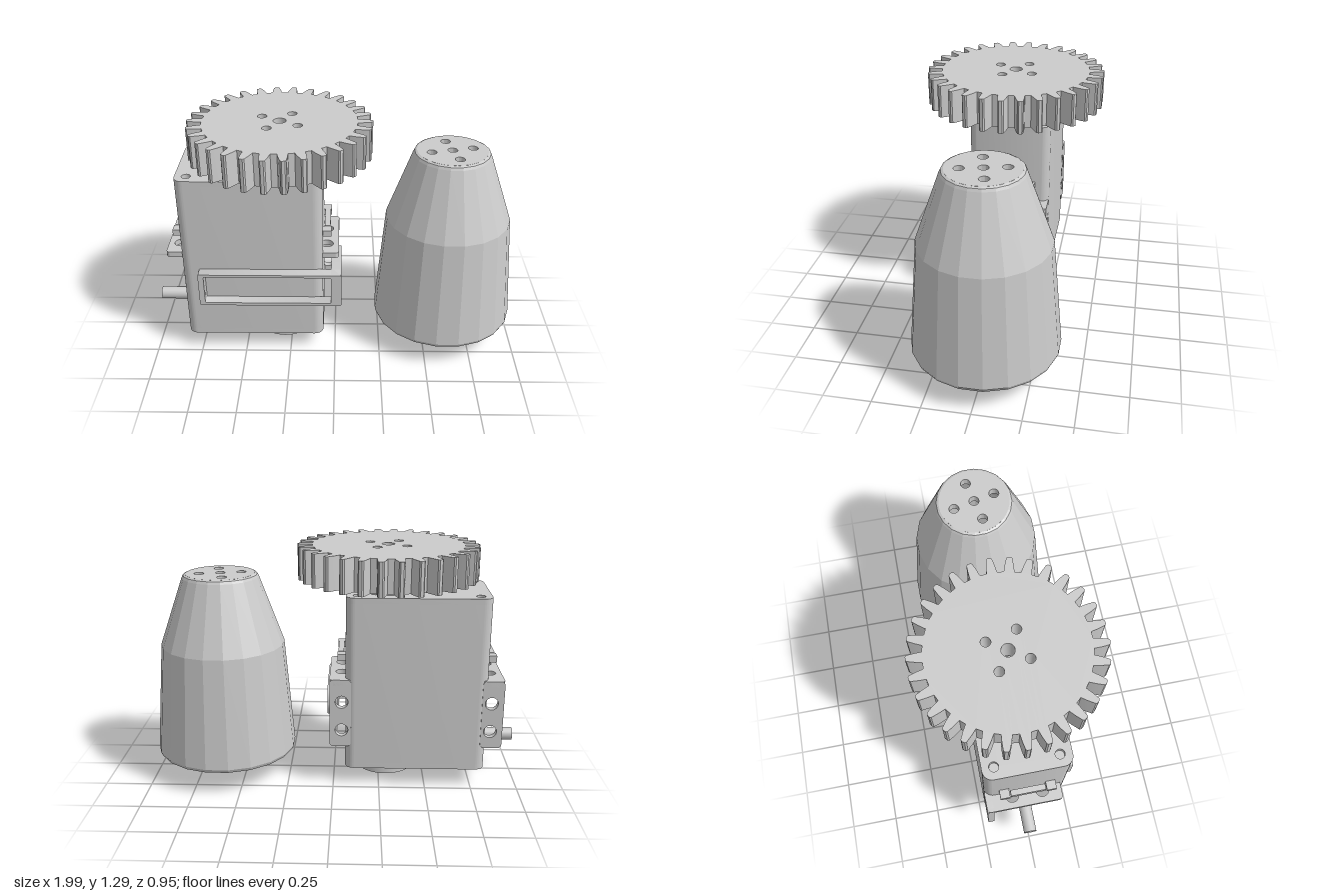
import * as THREE from 'three';
import { toCreasedNormals } from 'three/addons/utils/BufferGeometryUtils.js';

const grey = new THREE.MeshStandardMaterial({ color: 0xcccccc, side: THREE.DoubleSide });
const faceted = new THREE.MeshStandardMaterial({ color: 0xcccccc, flatShading: true, side: THREE.DoubleSide });

// Servo centre line and half sizes, height range
const CX = -0.443, HX = 0.378, HZ = 0.22, Y0 = 0.1, Y1 = 1.055;
const AXIS = -0.285, CONE = 0.61;

function add(parent, name, geo, x = 0, y = 0, z = 0, mat = grey) {
  const mesh = new THREE.Mesh(geo, mat);
  mesh.name = name;
  mesh.position.set(x, y, z);
  parent.add(mesh);
  return mesh;
}

function roundedRect(x0, y0, x1, y1, r, Type = THREE.Shape) {
  const s = new Type();
  s.moveTo(x0 + r, y0);
  s.lineTo(x1 - r, y0);
  s.absarc(x1 - r, y0 + r, r, -Math.PI / 2, 0);
  s.lineTo(x1, y1 - r);
  s.absarc(x1 - r, y1 - r, r, 0, Math.PI / 2);
  s.lineTo(x0 + r, y1);
  s.absarc(x0 + r, y1 - r, r, Math.PI / 2, Math.PI);
  s.lineTo(x0, y0 + r);
  s.absarc(x0 + r, y0 + r, r, Math.PI, Math.PI * 1.5);
  return s;
}

const disc = r => new THREE.Shape().absarc(0, 0, r, 0, Math.PI * 2);

function hole(shape, x, y, r) {
  shape.holes.push(new THREE.Path().absarc(x, y, r, 0, Math.PI * 2, true));
}

// Central bore plus four screw holes on a circle
function boltHoles(shape, startDeg, ring, r, bore) {
  if (bore) hole(shape, 0, 0, bore);
  for (let i = 0; i < 4; i++) {
    const a = (startDeg + i * 90) * Math.PI / 180;
    hole(shape, ring * Math.cos(a), ring * Math.sin(a), r);
  }
  return shape;
}

function extrude(shape, depth, segments = 8) {
  const geo = new THREE.ExtrudeGeometry(shape, { depth, bevelEnabled: false, curveSegments: segments });
  return toCreasedNormals(geo, 0.6);
}

// Extrusion upwards: shape y becomes -z
const slab = (shape, height, segments) => extrude(shape, height, segments).rotateX(-Math.PI / 2);

function gearShape(teeth, root, tip) {
  const pts = [];
  const pitch = Math.PI * 2 / teeth;
  const profile = [[-0.31, root], [-0.24, root + 0.035], [-0.15, tip - 0.006], [-0.08, tip],
    [0.08, tip], [0.15, tip - 0.006], [0.24, root + 0.035], [0.31, root]];
  for (let i = 0; i < teeth; i++) {
    for (const [f, r] of profile) {
      const a = (i + f) * pitch;
      pts.push(new THREE.Vector2(r * Math.cos(a), r * Math.sin(a)));
    }
  }
  return new THREE.Shape(pts);
}

function buildServo() {
  const g = new THREE.Group();
  g.name = 'servo';

  // Case: plain core between end plates with screw holes
  const outline = () => roundedRect(-HX, -HZ, HX, HZ, 0.05);
  const plate = outline();
  for (const sx of [-1, 1]) for (const sz of [-1, 1]) hole(plate, sx * 0.317, sz * 0.16, 0.024);
  add(g, 'case', slab(outline(), Y1 - Y0 - 0.06), CX, Y0 + 0.03);
  add(g, 'bottomPlate', slab(plate, 0.03), CX, Y0);
  add(g, 'topPlate', slab(plate, 0.03), CX, Y1 - 0.03);

  // Lower bearing
  add(g, 'lowerBoss', slab(boltHoles(disc(0.16), 45, 0.11, 0.02), 0.06, 20), AXIS, 0.04);
  const hub = disc(0.063);
  hole(hub, 0, 0, 0.03);
  add(g, 'lowerHub', slab(hub, 0.04, 16), AXIS, 0);

  // Output horn with a slot through it
  add(g, 'hornDisc', slab(disc(0.16), 0.017, 20), AXIS, Y1);
  const half = Math.acos(0.045 / 0.16);
  for (const start of [0, Math.PI]) {
    const segment = new THREE.Shape().absarc(0, 0, 0.16, start - half, start + half);
    add(g, 'hornBlock', slab(segment, 0.05, 16), AXIS, 1.071);
  }

  // Cable shaft
  const rod = (r, l) => new THREE.CylinderGeometry(r, r, l, 20).rotateZ(Math.PI / 2);
  add(g, 'cable', rod(0.035, 0.19), -0.905, 0.22);
  add(g, 'cableCollar', rod(0.047, 0.04), -0.82, 0.22);

  for (const s of [-1, 1]) g.add(buildBracket(s));
  g.add(buildClip());
  return g;
}

// Mounting ears on one side of the case, s = side
function buildBracket(s) {
  const g = new THREE.Group();
  g.name = s > 0 ? 'leftBracket' : 'rightBracket';
  g.position.x = CX + s * HX;
  const ear = (a, b) => roundedRect(Math.min(-0.03 * s, 0.085 * s), a, Math.max(-0.03 * s, 0.085 * s), b, 0.02);

  const flange = ear(0.23, 0.61);
  for (const y of [0.325, 0.485]) hole(flange, s * 0.02, y, 0.035);
  add(g, 'flange', extrude(flange, 0.035), 0, 0, -0.22);

  const shelf = ear(-0.18, 0.22);
  for (const z of [-0.08, 0.08]) hole(shelf, s * 0.02, z, 0.035);
  add(g, 'shelf', slab(shelf, 0.03), 0, 0.58);

  // Small latch above the shelf
  add(g, 'latchBar', new THREE.BoxGeometry(0.03, 0.04, 0.18), s * 0.025, 0.71);
  for (const z of [-0.12, 0.12]) {
    add(g, 'latchTab', new THREE.BoxGeometry(0.05, 0.035, 0.05), s * 0.02, 0.71, z);
  }
  return g;
}

// Open frame on the front with an arm folded back along the side
function buildClip() {
  const g = new THREE.Group();
  g.name = 'clip';
  const frame = roundedRect(-0.73, 0.335, 0.035, 0.53, 0.008);
  frame.holes.push(roundedRect(-0.7, 0.352, -0.02, 0.515, 0.008, THREE.Path));
  add(g, 'frontFrame', extrude(frame, 0.065), 0, 0, 0.215);

  const r = 0.0975;
  const arm = new THREE.Shape();
  arm.moveTo(-0.27, -r);
  arm.lineTo(0, -r);
  arm.absarc(0, 0, r, -Math.PI / 2, Math.PI / 2);
  arm.lineTo(-0.27, r);
  add(g, 'sideArm', extrude(arm, 0.055, 16).rotateY(Math.PI / 2), -0.02, 0.4325, 0);
  return g;
}

function buildCone() {
  const g = new THREE.Group();
  g.name = 'coneCover';
  g.position.x = CONE;
  const sides = 20;
  // Hollow shell: down the inside, round the base and up the outside
  const profile = [[0.17, 1.09], [0.29, 0.74], [0.31, 0.25], [0.265, 0.25], [0.275, 0.13],
    [0.362, 0.13], [0.378, 0.137], [0.386, 0.155], [0.335, 0.75], [0.205, 1.115], [0.198, 1.129], [0.185, 1.135]]
    .map(([r, y]) => new THREE.Vector2(r, y));
  const shell = new THREE.LatheGeometry(profile, sides).rotateY(Math.PI / sides);
  add(g, 'coneShell', shell, 0, 0, 0, faceted);

  const cap = boltHoles(disc(0.185), 94, 0.113, 0.026, 0.026);
  add(g, 'coneTop', slab(cap, 0.045, sides).rotateY(Math.PI / sides), 0, 1.09);
  return g;
}

export function createModel() {
  const model = new THREE.Group();
  model.name = 'servoKit';
  model.add(buildServo(), buildCone());

  // Spur gear on the output horn
  const gear = boltHoles(gearShape(30, 0.4, 0.478), 58, 0.112, 0.025, 0.034);
  add(model, 'gear', slab(gear, 0.175), AXIS, 1.12);
  return model;
}
